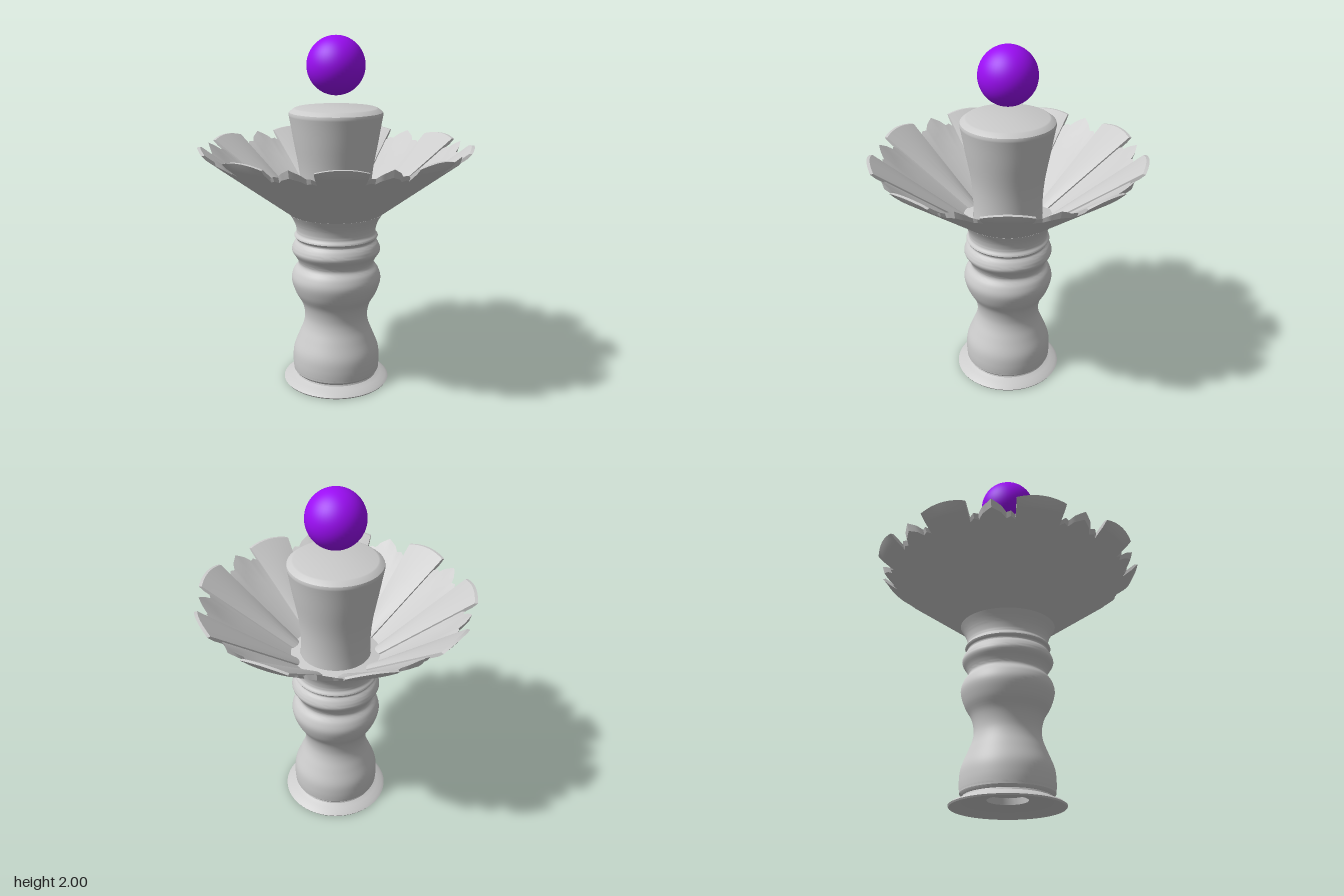
import * as THREE from 'three';
import { toCreasedNormals } from 'three/addons/utils/BufferGeometryUtils.js';

const grey = new THREE.MeshStandardMaterial({ color: 0xcccccc, side: THREE.DoubleSide });
const purple = new THREE.MeshStandardMaterial({ color: 0x9c0df5 });
const v2 = ([x, y]) => new THREE.Vector2(x, y);
const smooth = (pts, n) => new THREE.SplineCurve(pts.map(v2)).getPoints(n);

function add(group, name, geometry, material = grey) {
  const mesh = new THREE.Mesh(geometry, material);
  mesh.name = name;
  group.add(mesh);
  return mesh;
}

const lathe = (pts) => toCreasedNormals(new THREE.LatheGeometry(pts, 64), 0.6);

// Piecewise-linear lookup in a short list of [position, value]
function lookup(list, x) {
  for (let i = 1; i < list.length; i++) {
    const [a, va] = list[i - 1], [b, vb] = list[i];
    if (x <= b) return va + (vb - va) * (x - a) / (b - a);
  }
  return list[list.length - 1][1];
}

// Height of the flared underside at radius r
const coneY = (r) => 1.026 + 0.74 * (r - 0.275);

// Solid wedge-shaped petal: rim(u) is its length, thick(u, t) its thickness
function petalGeometry(rim, thick, bevel) {
  const half = Math.PI / 18, r0 = 0.2, n = 20;
  const rows = [0, 0.2, 0.4, 0.6, 0.75, 0.85, 0.92, 0.97, 1];
  const pos = [], idx = [], m = 2 * (n + 1);
  for (const t of rows) {
    for (let j = 0; j < m; j++) {
      const top = j <= n;
      const u = -1 + 2 * (top ? j : m - 1 - j) / n;
      const end = rim(u) - (top ? 0 : bevel);
      const r = r0 + (end - r0) * t;
      const y = coneY(r) + (top ? thick(u, t) : 0);
      pos.push(r * Math.sin(u * half), y, r * Math.cos(u * half));
    }
  }
  for (let i = 0; i < rows.length - 1; i++) {
    for (let j = 0; j < m; j++) {
      const k = (j + 1) % m;
      const a = i * m + j, b = a + m, c = (i + 1) * m + k, d = i * m + k;
      idx.push(a, b, c, a, c, d);
    }
  }
  // Outer end face
  const last = (rows.length - 1) * m;
  for (let j = 0; j < n; j++) {
    const a = last + j, b = last + m - 1 - j;
    idx.push(a, b, b - 1, a, b - 1, a + 1);
  }
  const g = new THREE.BufferGeometry();
  g.setAttribute('position', new THREE.Float32BufferAttribute(pos, 3));
  g.setIndex(idx);
  return toCreasedNormals(g, 0.45);
}

export function createModel() {
  const model = new THREE.Group();

  // Flared foot, hollowed underneath with a central recess
  add(model, 'foot', lathe([
    [0, 0.075], [0.105, 0.075], [0.11, 0.04], [0.17, 0.04], [0.23, 0.03], [0.28, 0.012], [0.305, 0],
    [0.31, 0.008], [0.295, 0.02], [0.265, 0.032], [0.24, 0.045], [0.235, 0.06], [0.2, 0.06],
  ].map(v2)));

  // Turned stem with rings
  add(model, 'stem', lathe([
    v2([0.2, 0.05]), v2([0.24, 0.055]),
    ...smooth([
      [0.252, 0.07], [0.255, 0.13], [0.248, 0.2], [0.217, 0.28], [0.19, 0.35], [0.183, 0.41],
      [0.198, 0.48], [0.236, 0.55], [0.258, 0.625], [0.245, 0.68], [0.218, 0.72], [0.228, 0.755],
      [0.254, 0.8], [0.242, 0.84], [0.225, 0.865], [0.24, 0.885], [0.226, 0.91], [0.232, 0.95],
      [0.247, 0.985], [0.268, 1.02],
    ], 90),
    v2([0.2, 1.03]),
  ]));

  // Inner cup rising through the flower
  add(model, 'cup', lathe([
    ...smooth([[0.2, 0.98], [0.195, 1.1], [0.205, 1.25], [0.235, 1.42], [0.252, 1.52], [0.262, 1.575]], 20),
    ...[[0.259, 1.588], [0.234, 1.607], [0.225, 1.61], [0, 1.61]].map(v2),
  ]));

  // Alternating long and short petals
  const longPetal = petalGeometry(
    (u) => 0.762 - 0.004 * u * u,
    (u, t) => 0.038 - 0.016 * u * u - 0.014 * Math.max(0, (t - 0.97) / 0.03),
    0.028);
  const notched = [[0, 0.735], [0.4, 0.71], [0.6, 0.685], [0.8, 0.695], [1, 0.68]];
  const shortPetal = petalGeometry(
    (u) => lookup(notched, Math.abs(u)),
    (u, t) => 0.012 + 0.022 * Math.max(0, (t - 0.75) / 0.25) * (1 - Math.abs(u)),
    0.012);
  const flower = new THREE.Group();
  flower.name = 'flower';
  model.add(flower);
  for (let i = 0; i < 18; i++) {
    const long = i % 2 === 0;
    add(flower, long ? 'longPetal' : 'shortPetal', long ? longPetal : shortPetal).rotation.y = i * Math.PI / 9;
  }

  // Floating ball
  add(model, 'ball', new THREE.SphereGeometry(0.161, 48, 32), purple).position.y = 1.839;

  return model;
}
